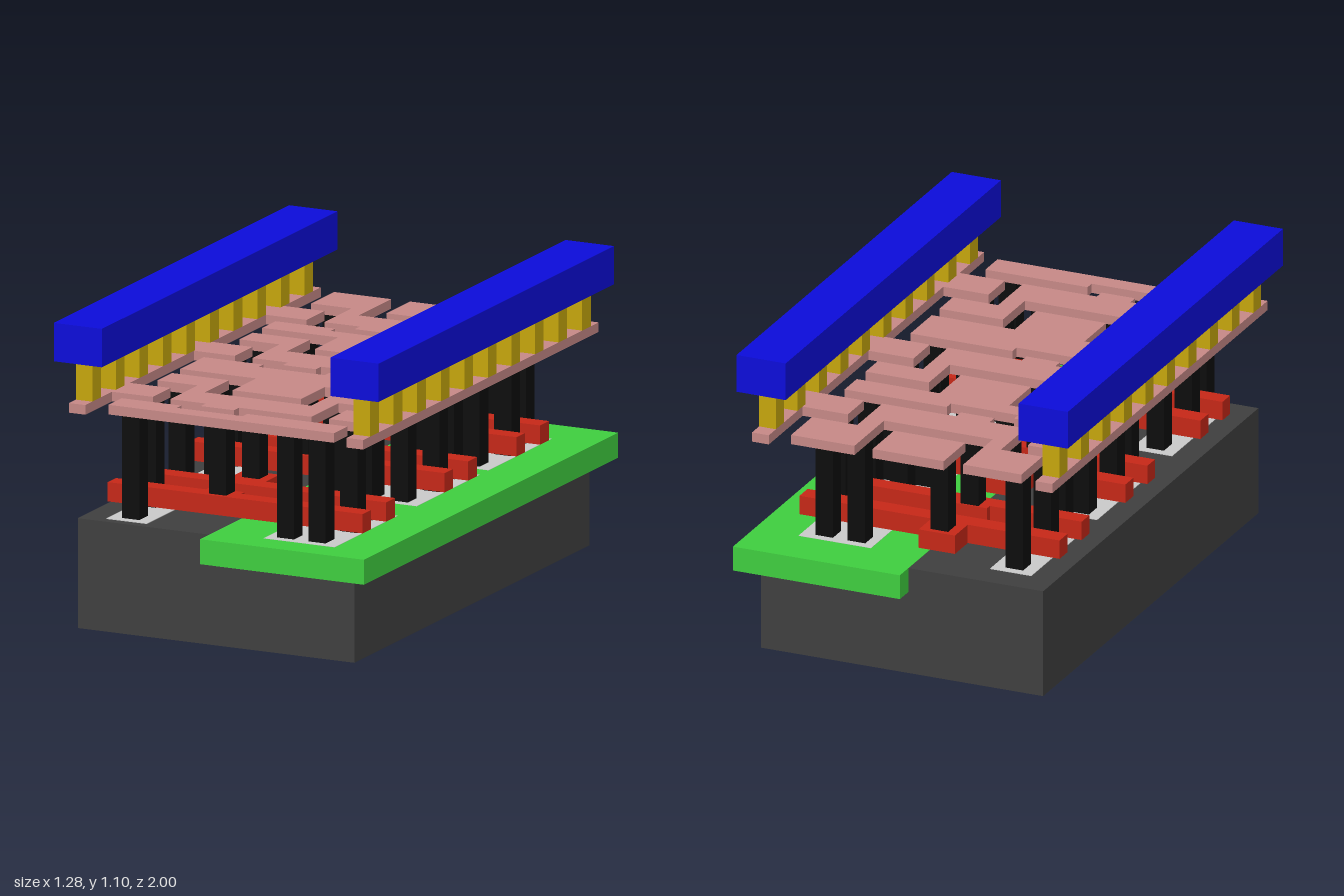
import * as THREE from 'three';

const mat = (color) => new THREE.MeshStandardMaterial({ color });
const M = {
  base: mat(0x404040), well: mat(0x40d040), diffusion: mat(0xcccccc), gate: mat(0xc82818),
  contact: mat(0x0d0d0d), metal: mat(0xc88a88), via: mat(0xc8a80c), rail: mat(0x0c0cdc),
};

// Box given by its limits on each axis
function box(parent, name, m, x0, x1, y0, y1, z0, z1) {
  const mesh = new THREE.Mesh(new THREE.BoxGeometry(x1 - x0, y1 - y0, z1 - z0), m);
  mesh.position.set((x0 + x1) / 2, (y0 + y1) / 2, (z0 + z1) / 2);
  mesh.name = name;
  parent.add(mesh);
}

// Flat slab from an outline of [x, z] points
function slab(parent, name, m, points, y0, y1) {
  const shape = new THREE.Shape(points.map(([x, z]) => new THREE.Vector2(x, -z)));
  const geo = new THREE.ExtrudeGeometry(shape, { depth: y1 - y0, bevelEnabled: false });
  geo.rotateX(-Math.PI / 2);
  const mesh = new THREE.Mesh(geo, m);
  mesh.position.y = y0;
  mesh.name = name;
  parent.add(mesh);
}

const TOP = 0.4, METAL0 = 0.78, METAL1 = 0.815, PAD_X = -0.08;

function buildCell(s, padStart, wideEnd, tongueEnd) {
  const cell = new THREE.Group();
  cell.name = 'transistorCell';
  cell.position.z = s;

  // Diffusion strips lying in the substrate surface
  box(cell, 'leftDiffusion', M.diffusion, 0.17, 0.45, 0.38, TOP + 0.002, -0.25, 0.245);
  box(cell, 'rightDiffusion', M.diffusion, -0.45, -0.29, 0.38, TOP + 0.002, -0.25, 0.245);

  // Two gate bars, each with a contact pad
  slab(cell, 'backGate', M.gate, [[-0.505, -0.13], [-0.15, -0.13], [-0.15, -0.24], [-0.01, -0.24],
    [-0.01, -0.13], [0.5, -0.13], [0.5, -0.06], [-0.505, -0.06]], 0.43, 0.5);
  slab(cell, 'frontGate', M.gate, [[-0.505, 0.06], [-0.15, 0.06], [-0.15, 0.035], [-0.01, 0.035],
    [-0.01, 0.06], [0.5, 0.06], [0.5, 0.125], [-0.505, 0.125]], 0.43, 0.5);

  // Contact columns: to the diffusion from the surface, to the gates from the bars
  const column = (x, z, y0 = TOP) =>
    box(cell, 'contactColumn', M.contact, x - 0.034, x + 0.034, y0, METAL0, z - 0.034, z + 0.034);
  for (const z of [-0.185, 0.18]) for (const x of [-0.37, 0.24, 0.365]) column(x, z);
  for (const x of [-0.395, 0.4]) column(x, 0);
  column(PAD_X, -0.185, 0.5);
  column(PAD_X, 0.075, 0.5);

  // U-shaped link between both sides and the front gate
  slab(cell, 'linkTrack', M.metal, [[-0.445, padStart], [-0.22, padStart], [-0.22, -0.07], [0.2, -0.07],
    [0.2, padStart], [0.445, padStart], [0.445, -0.145], [0.27, -0.145], [0.27, 0.07], [-0.015, 0.07],
    [-0.015, 0.11], [-0.145, 0.11], [-0.145, 0.07], [-0.285, 0.07], [-0.285, -0.145], [-0.445, -0.145]],
  METAL0, METAL1);

  // Wide output track, notched at the back, with a tongue to the next cell
  const outline = [[-0.445, 0.135], [-0.21, 0.135], [-0.21, 0.17], [0.05, 0.17], [0.05, 0.135],
    [0.445, 0.135], [0.445, wideEnd]];
  if (tongueEnd) outline.push([0.125, wideEnd], [0.125, tongueEnd], [-0.145, tongueEnd], [-0.145, wideEnd]);
  outline.push([-0.445, wideEnd]);
  slab(cell, 'outputTrack', M.metal, outline, METAL0, METAL1);

  // Branches from the supply tracks
  box(cell, 'leftBranch', M.metal, 0.34, 0.515, METAL0, METAL1, -0.07, 0.07);
  box(cell, 'rightBranch', M.metal, -0.515, -0.355, METAL0, METAL1, -0.07, 0.07);
  return cell;
}

export function createModel() {
  const model = new THREE.Group();
  model.name = 'chipLayout';

  box(model, 'substrate', M.base, -0.545, 0.545, 0, TOP, -0.925, 0.925);
  box(model, 'well', M.well, -0.025, 0.62, 0.31, TOP + 0.001, -1, 1);

  // Three chained cells: source position, pad start, output end, tongue end
  model.add(buildCell(-0.565, -0.325, 0.24, 0.425));
  model.add(buildCell(0, -0.25, 0.32, 0.505));
  model.add(buildCell(0.645, -0.26, 0.24, 0));
  box(model, 'inputTrack', M.metal, -0.145, 0.13, METAL0, METAL1, -0.89, -0.705);

  // Supply track, vias and upper rail on each side
  for (const side of [-1, 1]) {
    const group = new THREE.Group();
    group.name = side > 0 ? 'leftSupply' : 'rightSupply';
    const bar = (name, m, a, b, ...rest) =>
      box(group, name, m, Math.min(side * a, side * b), Math.max(side * a, side * b), ...rest);
    bar('supplyTrack', M.metal, 0.515, 0.58, METAL0, METAL1, -0.925, 0.925);
    for (let i = 0; i < 10; i++) {
      const z = -0.83 + i * 0.1852;
      bar('via', M.via, 0.515, 0.58, METAL1, 0.96, z - 0.034, z + 0.034);
    }
    bar('upperRail', M.rail, 0.45, 0.64, 0.96, 1.1, -0.925, 0.925);
    model.add(group);
  }
  return model;
}
